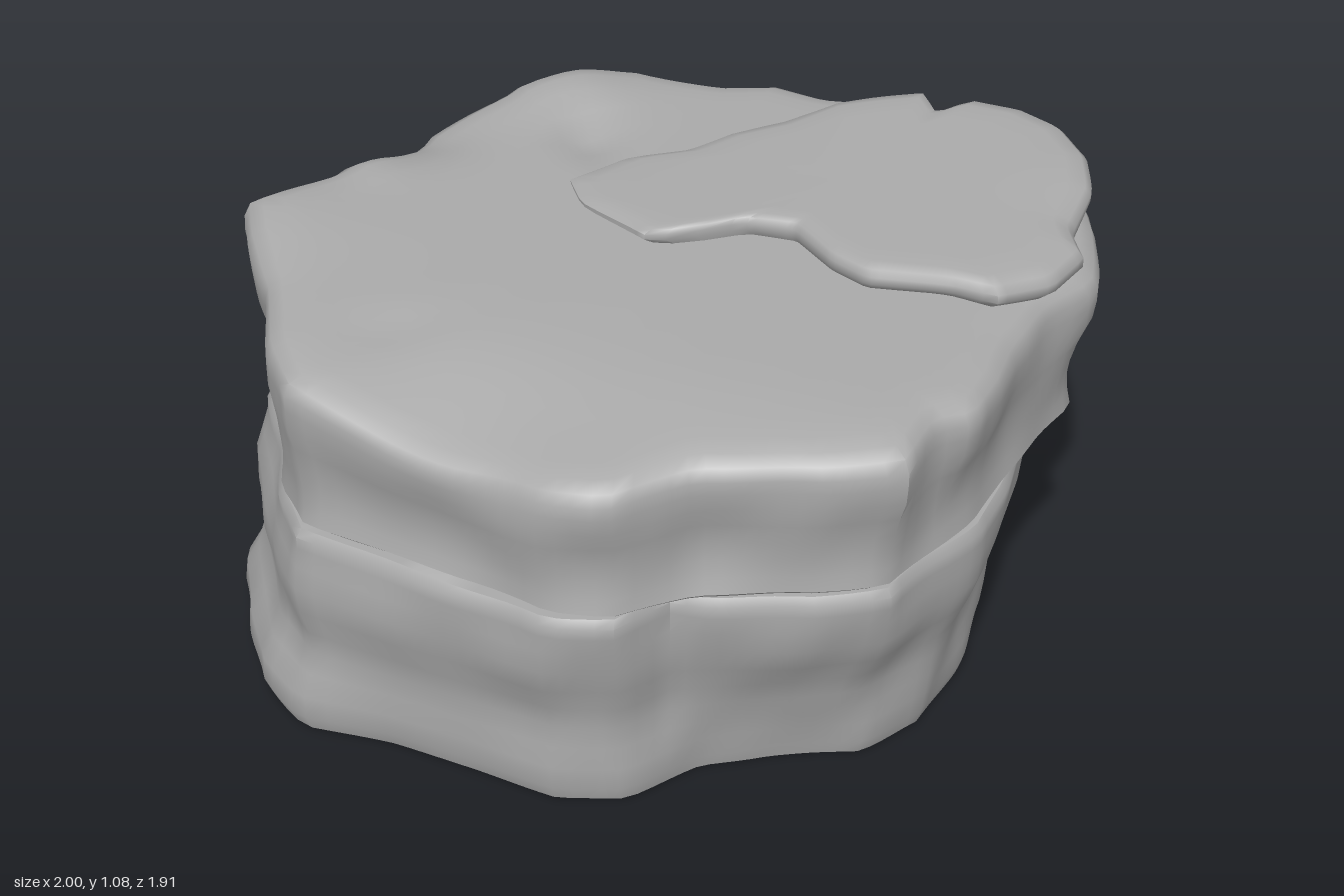
import * as THREE from 'three';
import { toCreasedNormals } from 'three/addons/utils/BufferGeometryUtils.js';

const SIDES = 140;

// Outlines as [x, z] points, running right, front, left, back
const LOWER_FOOT = [
  [.81, .1], [.78, .33], [.67, .48], [.47, .57], [.33, .66], [.2, .82], [.05, .87], [-.15, .85],
  [-.4, .83], [-.62, .83], [-.76, .73], [-.89, .55], [-1, .34], [-.97, .18], [-.82, 0], [-.72, -.2],
  [-.62, -.4], [-.45, -.58], [-.25, -.69], [0, -.74], [.25, -.75], [.45, -.72], [.59, -.59], [.73, -.42], [.8, -.15]];
const LOWER_RIM = [
  [.89, .1], [.88, .3], [.8, .45], [.75, .6], [.6, .69], [.38, .76], [.29, .77], [.21, .9], [.06, .95], [-.1, .92],
  [-.35, .87], [-.6, .82], [-.7, .69], [-.81, .47], [-.92, .3], [-.95, .15], [-.85, -.05], [-.78, -.22],
  [-.74, -.42], [-.62, -.61], [-.48, -.75], [-.33, -.83], [0, -.9], [.35, -.91], [.55, -.78], [.72, -.62],
  [.85, -.42], [.88, -.15]];
const UPPER_FOOT = [
  [.88, .1], [.86, .3], [.8, .45], [.74, .6], [.6, .68], [.35, .77], [.2, .9], [.06, .93], [-.1, .89],
  [-.35, .85], [-.58, .81], [-.69, .69], [-.79, .47], [-.9, .28], [-.92, .15], [-.83, -.05], [-.77, -.22],
  [-.74, -.42], [-.61, -.6], [-.48, -.75], [-.33, -.84], [0, -.92], [.3, -.92], [.5, -.82],
  [.72, -.67], [.85, -.5], [.96, -.25], [.92, -.1]];
const UPPER_RIM = [
  [.89, .1], [.89, .25], [.87, .4], [.8, .45], [.78, .62], [.62, .7], [.35, .78], [.2, .93], [.06, .95], [-.1, .91],
  [-.35, .87], [-.6, .82], [-.7, .7], [-.8, .48], [-.93, .3], [-1, .18], [-.88, -.03], [-.87, -.08], [-.8, -.2],
  [-.77, -.42], [-.64, -.6], [-.62, -.66], [-.5, -.77], [-.37, -.86], [-.13, -.89], [0, -.95], [.15, -.93],
  [.3, -.96], [.5, -.88], [.78, -.75], [.9, -.62], [.95, -.5], [1, -.25], [.93, -.1]];
const PLATE_RIM = [
  [.97, -.22], [.93, -.08], [.82, .02], [.72, .02], [.52, .05], [.42, 0], [.3, -.1], [.17, -.1], [.06, -.03],
  [-.03, .01], [-.24, -.12], [-.31, -.22], [-.22, -.36], [-.08, -.42], [0, -.52], [.12, -.6], [.22, -.73],
  [.42, -.84], [.48, -.75], [.55, -.84], [.68, -.83], [.79, -.77], [.88, -.65], [.92, -.5], [.92, -.32]];

// Radius of a star-shaped outline along a ray from its centre
function radiusAt(outline, angle, cx, cz) {
  const dx = Math.cos(angle), dz = Math.sin(angle);
  let best = 0;
  outline.forEach(([x1, z1], i) => {
    const [x2, z2] = outline[(i + 1) % outline.length];
    const ex = x2 - x1, ez = z2 - z1, px = x1 - cx, pz = z1 - cz;
    const det = dx * ez - dz * ex;
    if (Math.abs(det) < 1e-9) return;
    const t = (px * ez - pz * ex) / det, s = (px * dz - pz * dx) / det;
    if (t > 0 && s >= -1e-6 && s <= 1 + 1e-6) best = Math.max(best, t);
  });
  return best;
}

const { lerp, smoothstep } = THREE.MathUtils;
const bump = (x, z, cx, cz, size) => Math.exp(-((x - cx) ** 2 + (z - cz) ** 2) / (size * size));
const rough = (x, y, z) => .7 * Math.sin(7 * x + 1) * Math.sin(7 * z + 2) * Math.cos(9 * y) +
  .6 * Math.sin(16 * x + 2) * Math.sin(15 * z) * Math.sin(18 * y + 1);

// Closed stone made of rings [scale, height, blend between foot and rim outline]
function stone({ foot, rim, centre = [0, 0], rings, height, wobble }) {
  const [cx, cz] = centre, pos = [], idx = [];
  const radii = Array.from({ length: SIDES }, (_, i) => {
    const a = i / SIDES * Math.PI * 2;
    return [a, radiusAt(foot, a, cx, cz), radiusAt(rim, a, cx, cz)];
  });
  rings.forEach(([scale, level, mix], k) => {
    radii.forEach(([a, r0, r1], i) => {
      const r = lerp(r0, r1, mix) * scale;
      let x = cx + Math.cos(a) * r, z = cz + Math.sin(a) * r;
      const y = height(x, z, level);
      const w = scale > .9 ? wobble * rough(x, y, z) : 0;
      x += Math.cos(a) * w;
      z += Math.sin(a) * w;
      pos.push(x, y, z);
      if (k === rings.length - 1) return;
      const b = k * SIDES + i, c = k * SIDES + (i + 1) % SIDES;
      if (scale > 0) idx.push(b, b + SIDES, c);
      if (rings[k + 1][0] > 0) idx.push(c, b + SIDES, c + SIDES);
    });
  });
  const g = new THREE.BufferGeometry();
  g.setAttribute('position', new THREE.Float32BufferAttribute(pos, 3));
  g.setIndex(idx);
  return toCreasedNormals(g, .9);
}

export function createModel() {
  const group = new THREE.Group();
  const grey = new THREE.MeshStandardMaterial({ color: 0xaaaaaa });
  grey.name = 'stone grey';
  const add = (name, options) => {
    const mesh = new THREE.Mesh(stone(options), grey);
    mesh.name = name;
    group.add(mesh);
  };

  // Lower block, narrower at the foot except for a toe on one side
  add('lowerStone', {
    foot: LOWER_FOOT, rim: LOWER_RIM, wobble: .012,
    rings: [[0, 0, 0], [.5, 0, 0], [.985, .003, 0], [1, .04, 0], [1, .1, .06], [.985, .16, .24], [.975, .22, .4],
      [.98, .28, .52], [1, .35, .65], [1.01, .42, .78], [1.005, .48, .9], [1, .53, 1], [1, .56, 1],
      [.985, .579, 1], [.5, .579, 1], [0, .579, 1]],
    height: (x, z, y) => y,
  });

  // Upper slab: worn top rising to the left, chipped front edge, low ledge beside a raised back flake
  const slabTop = (x, z) => .992 - .025 * x - .045 * smoothstep(z, .45, .95) * smoothstep(x, -.75, -.3) +
    .035 * bump(x, z, -.95, .18, .25) + .045 * bump(x, z, -.48, -.68, .17) -
    .04 * bump(x, z, -.35, -.47, .09) - .045 * bump(x, z, -.76, -.36, .13) +
    .02 * bump(x, z, -.8, -.1, .1) - .045 * bump(x, z, -.2, .92, .25) - .015 * bump(x, z, -.45, .55, .08);
  add('upperStone', {
    foot: UPPER_FOOT, rim: UPPER_RIM, wobble: .012,
    rings: [[0, 0, 0], [.5, 0, 0], [.985, 0, 0], [1, .03, 0], [.99, .13, .1], [.985, .25, .2], [.985, .38, .4],
      [.99, .52, .65], [1, .66, .9], [1, .78, 1], [1, .87, 1], [.985, .945, 1], [.95, .985, 1], [.9, 1, 1],
      [.83, 1, 1], [.75, 1, 1], [.66, 1, 1], [.55, 1, 1], [.4, 1, 1], [.2, 1, 1], [0, 1, 1]],
    height: (x, z, f) => .583 + f * (slabTop(x, z) - .583),
  });

  // Thin broken plate lying on the slab, sagging at its right end
  add('topPlate', {
    foot: PLATE_RIM, rim: PLATE_RIM, centre: [.4, -.35], wobble: .007,
    rings: [[0, 0, 1], [.3, 0, 1], [.6, 0, 1], [.8, 0, 1], [.96, .05, 1], [1, .35, 1], [1, .65, 1],
      [.97, .9, 1], [.9, 1, 1], [.75, 1, 1], [.5, 1, 1], [.25, 1, 1], [0, 1, 1]],
    height: (x, z, f) => {
      const lift = smoothstep(x, -.35, .35);
      const sag = smoothstep(x, .65, .95) * smoothstep(z, -.6, -.3);
      const bottom = .982 + .016 * lift - .025 * z * lift - .03 * sag;
      return bottom + f * (.033 + .027 * lift + .015 * sag);
    },
  });

  return group;
}
